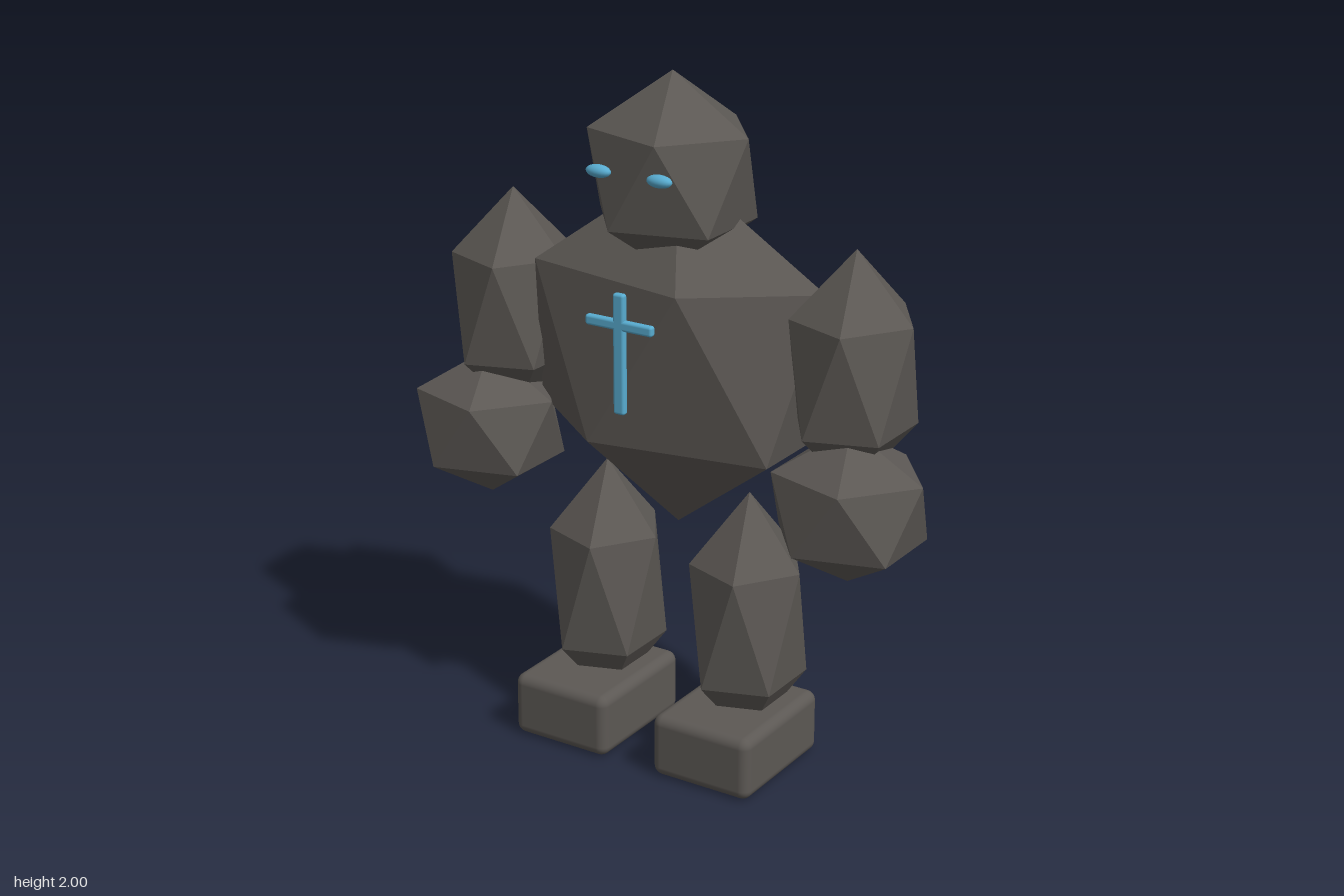
import * as THREE from 'three';
import { ConvexGeometry } from 'three/addons/geometries/ConvexGeometry.js';
import { RoundedBoxGeometry } from 'three/addons/geometries/RoundedBoxGeometry.js';

// Unit icosahedron standing on a vertex: two poles and two staggered rings
function boulderGeometry() {
  const points = [new THREE.Vector3(0, 1, 0), new THREE.Vector3(0, -1, 0)];
  const h = 1 / Math.sqrt(5);
  for (let i = 0; i < 10; i++) {
    const a = (i * Math.PI) / 5;
    points.push(new THREE.Vector3(2 * h * Math.cos(a), i % 2 ? -h : h, 2 * h * Math.sin(a)));
  }
  return new ConvexGeometry(points);
}

export function createModel() {
  const model = new THREE.Group();
  model.name = 'stoneGolem';

  const stone = new THREE.MeshStandardMaterial({ color: 0x5c5854 });
  stone.name = 'stone';
  const glow = new THREE.MeshStandardMaterial({ color: 0x58acd0 });
  glow.name = 'blueGlow';

  const add = (name, geometry, material, position, scale = [1, 1, 1]) => {
    const mesh = new THREE.Mesh(geometry, material);
    mesh.name = name;
    mesh.position.set(...position);
    mesh.scale.set(...scale);
    model.add(mesh);
    return mesh;
  };

  const boulder = boulderGeometry();
  const ball = new THREE.SphereGeometry(1, 20, 12);
  const footBlock = new RoundedBoxGeometry(0.32, 0.19, 0.4, 4, 0.03);

  // Head and torso
  add('head', boulder, stone, [0, 1.715, 0], [0.268, 0.285, 0.243]);
  add('torso', boulder, stone, [0, 1.205, -0.03], [0.525, 0.525, 0.286]);

  // Limbs: the boulders keep the same orientation on both sides
  for (const [side, s] of [['left', 1], ['right', -1]]) {
    add(side + 'UpperArm', boulder, stone, [s * 0.56, 1.242, -0.028], [0.195, 0.343, 0.212]);
    add(side + 'Fist', boulder, stone, [s * 0.6, 0.89, 0.052], [0.246, 0.222, 0.225]);
    add(side + 'Leg', boulder, stone, [s * 0.24, 0.437, -0.025], [0.185, 0.386, 0.2]);
    add(side + 'Foot', footBlock, stone, [s * 0.24, 0.1, 0.04]);
    add(side + 'Eye', ball, glow, [s * 0.097, 1.755, 0.215], [0.039, 0.018, 0.02]);
  }

  // Chest mark: two crossed bars floating in front of the torso
  add('chestMarkUpright', new RoundedBoxGeometry(0.036, 0.345, 0.022, 3, 0.008), glow, [0, 1.27, 0.262]);
  add('chestMarkCrossbar', new RoundedBoxGeometry(0.215, 0.03, 0.022, 3, 0.008), glow, [0, 1.353, 0.262]);

  return model;
}
